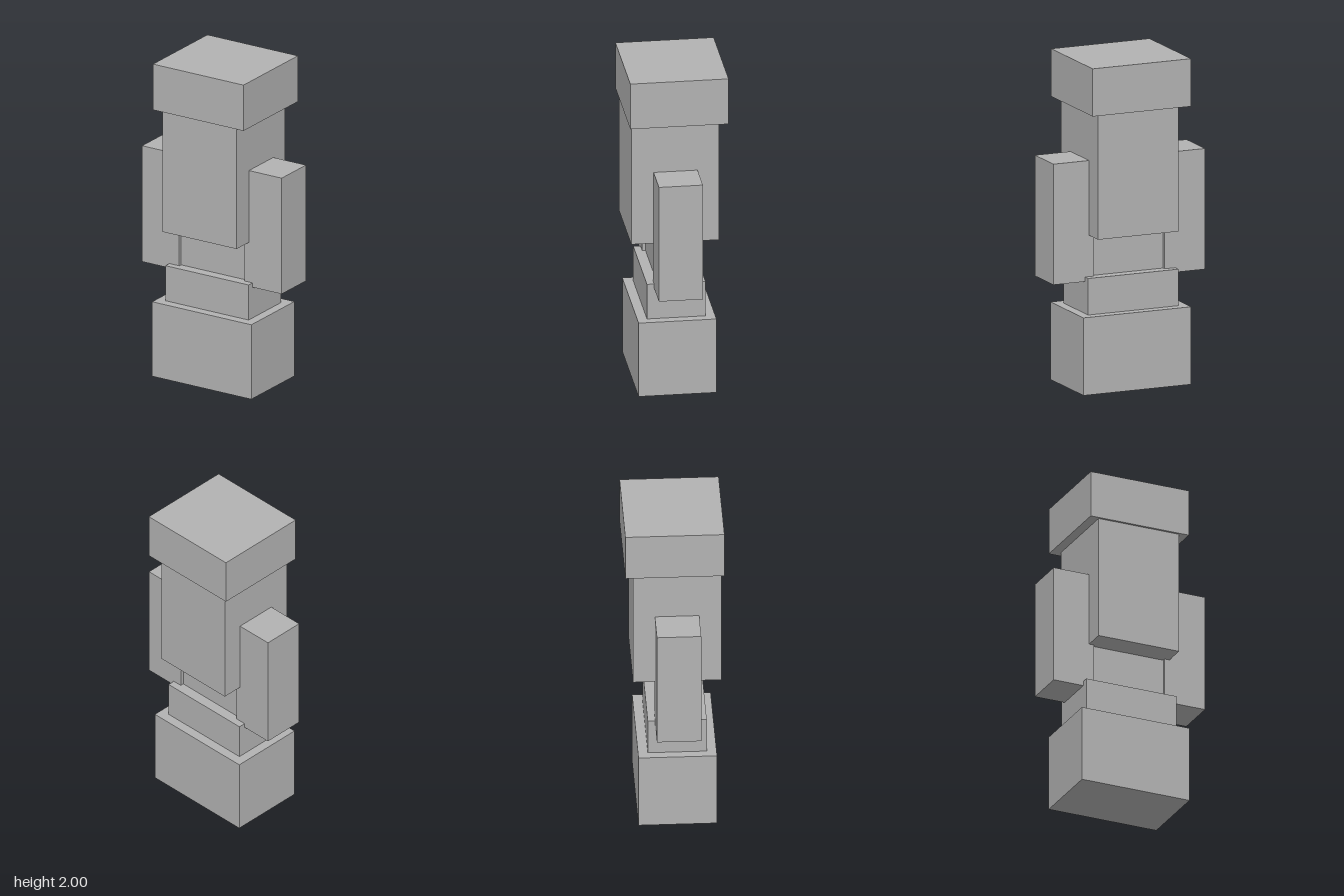
import * as THREE from 'three';

export function createModel() {
  const model = new THREE.Group();
  const stone = new THREE.MeshStandardMaterial({ color: 0xb2b2b2 });
  stone.name = 'plain grey';

  // Block given by its minimum and maximum on each axis
  function block(name, [x0, x1], [y0, y1], [z0, z1]) {
    const mesh = new THREE.Mesh(new THREE.BoxGeometry(x1 - x0, y1 - y0, z1 - z0), stone);
    mesh.position.set((x0 + x1) / 2, (y0 + y1) / 2, (z0 + z1) / 2);
    mesh.name = name;
    model.add(mesh);
  }

  // Stacked base and narrow waist
  block('base', [-0.358, 0.345], [0, 0.472], [-0.218, 0.248]);
  block('upperBase', [-0.302, 0.288], [0.472, 0.694], [-0.16, 0.19]);
  block('waist', [-0.232, 0.23], [0.694, 0.945], [-0.095, 0.127]);

  // Body and head
  block('torso', [-0.264, 0.262], [0.945, 1.71], [-0.245, 0.28]);
  block('head', [-0.322, 0.32], [1.71, 2], [-0.294, 0.294]);

  // Arms
  block('leftArm', [0.23, 0.494], [0.666, 1.4], [-0.116, 0.147]);
  block('rightArm', [-0.496, -0.232], [0.666, 1.4], [-0.116, 0.147]);

  return model;
}
